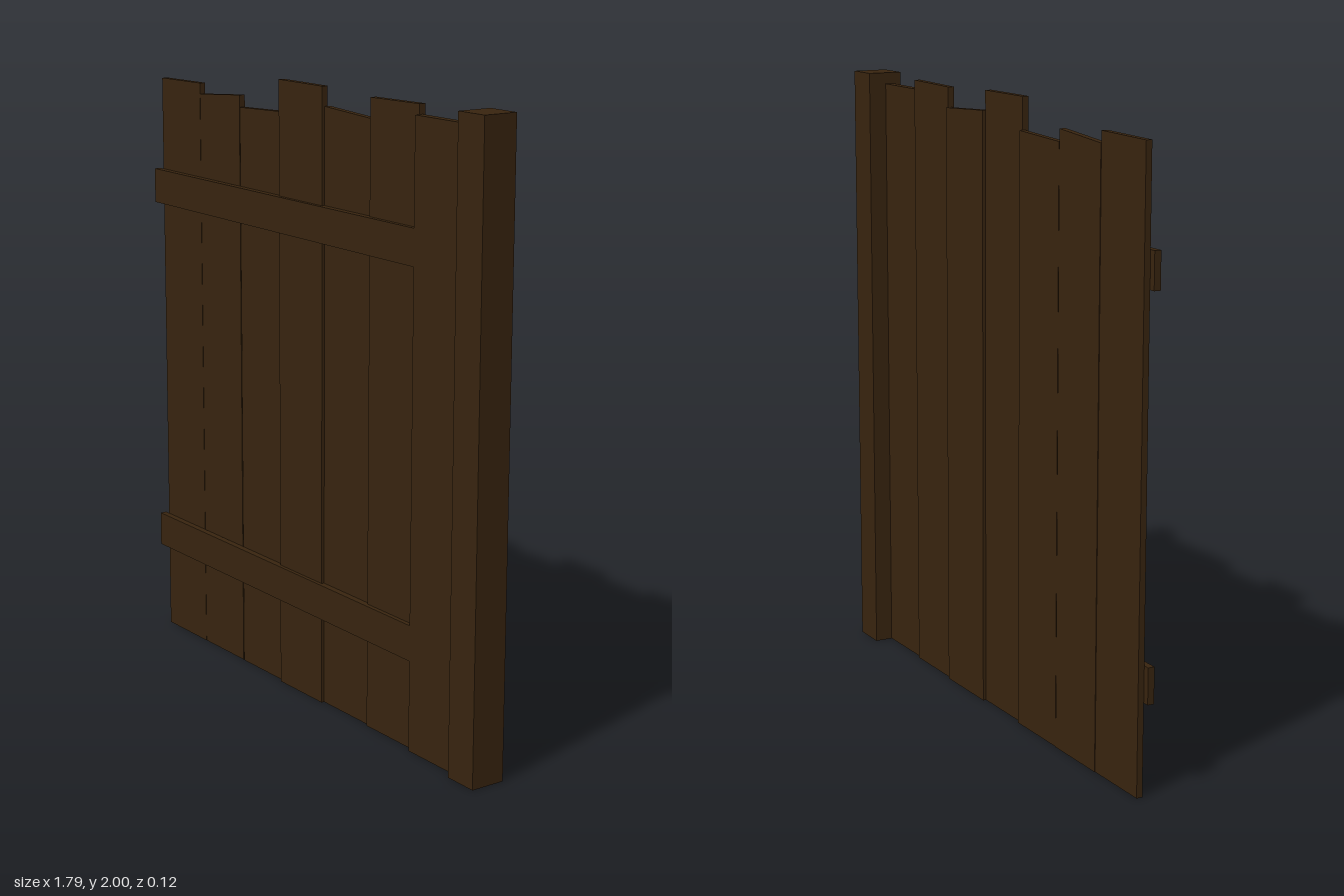
import * as THREE from 'three';

export function createModel() {
  const model = new THREE.Group();
  model.name = 'plankGate';
  const darkWood = new THREE.MeshStandardMaterial({ color: 0x38240f });
  darkWood.name = 'darkWood';

  // upright board with a sloping top edge
  function board(name, x0, x1, topLeft, topRight, zBack, zFront) {
    const shape = new THREE.Shape();
    shape.moveTo(x0, 0);
    shape.lineTo(x1, 0);
    shape.lineTo(x1, topRight);
    shape.lineTo(x0, topLeft);
    shape.closePath();
    const geometry = new THREE.ExtrudeGeometry(shape, { depth: zFront - zBack, bevelEnabled: false });
    geometry.translate(0, 0, zBack);
    const mesh = new THREE.Mesh(geometry, darkWood);
    mesh.name = name;
    model.add(mesh);
  }

  // planks: x start, x end, top at each side, back and front
  const planks = [
    [-0.877, -0.642, 1.94, 1.944, -0.016, 0.004],
    [-0.642, -0.409, 1.908, 1.927, -0.018, 0.003],
    [-0.404, -0.168, 1.888, 1.898, -0.016, 0.004],
    [-0.168, 0.065, 2, 2, -0.006, 0.015],
    [0.065, 0.308, 1.938, 1.925, -0.016, 0.005],
    [0.308, 0.545, 1.99, 1.994, -0.008, 0.013],
    [0.545, 0.776, 1.963, 1.963, 0.001, 0.029],
  ];
  planks.forEach((p, i) => board('plank' + (i + 1), ...p));

  // square hinge post
  board('post', 0.776, 0.892, 2, 2, -0.059, 0.057);

  // cross rails, sunk into the last plank
  [['lowerRail', 0.35], ['upperRail', 1.575]].forEach(([name, y]) => {
    const rail = new THREE.Mesh(new THREE.BoxGeometry(1.67, 0.115, 0.022), darkWood);
    rail.name = name;
    rail.position.set(-0.06, y, 0.017);
    model.add(rail);
  });

  return model;
}
